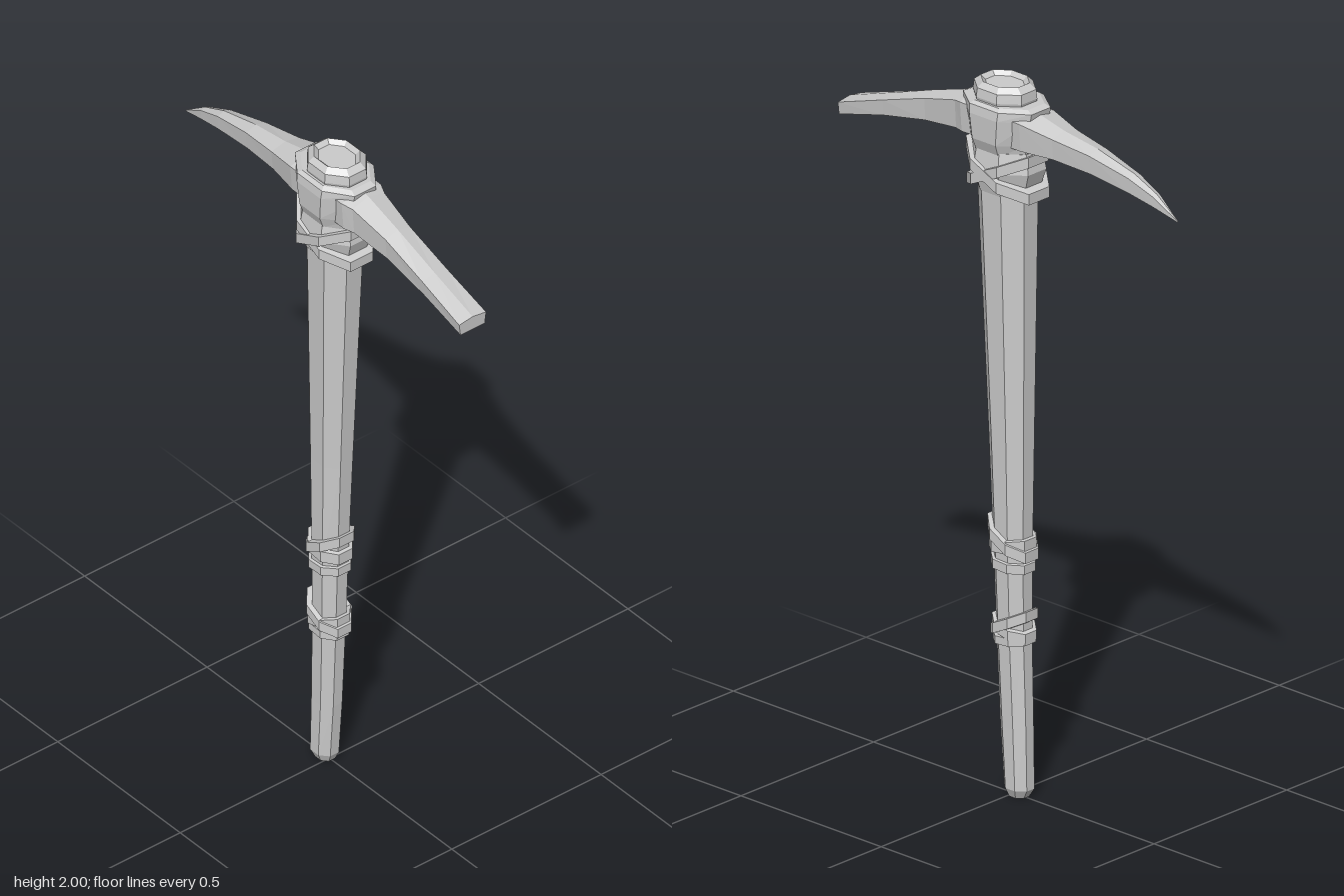
import * as THREE from 'three';

const material = new THREE.MeshStandardMaterial({ color: 0xcccccc, flatShading: true });

// Skin a list of cross-sections, each running counter-clockwise seen from the far end
function loft(name, sections, capped = true) {
  const pos = [];
  const tri = (...pts) => pts.forEach((p) => pos.push(p.x, p.y, p.z));
  const n = sections[0].length;
  for (let i = 0; i < sections.length - 1; i++) {
    for (let k = 0; k < n; k++) {
      const a = sections[i][k], b = sections[i][(k + 1) % n];
      const c = sections[i + 1][(k + 1) % n], d = sections[i + 1][k];
      tri(a, b, c);
      tri(a, c, d);
    }
  }
  if (capped) {
    const first = sections[0], last = sections[sections.length - 1];
    for (let k = 1; k < n - 1; k++) {
      tri(first[0], first[k + 1], first[k]);
      tri(last[0], last[k], last[k + 1]);
    }
  }
  const geometry = new THREE.BufferGeometry();
  geometry.setAttribute('position', new THREE.Float32BufferAttribute(pos, 3));
  geometry.computeVertexNormals();
  const mesh = new THREE.Mesh(geometry, material);
  mesh.name = name;
  return mesh;
}

// Eight-sided ring with flats on the axes; slope tilts it along x
function octagon(y, cx, rx, rz, slope = 0) {
  const grow = 1 / Math.cos(Math.PI / 8);
  return Array.from({ length: 8 }, (_, k) => {
    const t = ((k + 0.5) * Math.PI) / 4;
    const dx = Math.cos(t) * rx * grow;
    return new THREE.Vector3(cx + dx, y + slope * dx, -Math.sin(t) * rz * grow);
  });
}

// Handle outline: y, left x, right x, half depth
const HANDLE = [
  [0.005, -0.045, 0.01, 0.024],
  [0.03, -0.06, 0.021, 0.035],
  [0.2, -0.057, 0.034, 0.036],
  [0.45, -0.05, 0.046, 0.04],
  [0.7, -0.05, 0.056, 0.044],
  [1.0, -0.054, 0.07, 0.049],
  [1.7, -0.062, 0.104, 0.064],
  [1.94, -0.062, 0.115, 0.068],
];

// Handle centre and radii at any height
function handleAt(y) {
  let i = 0;
  while (i < HANDLE.length - 2 && HANDLE[i + 1][0] < y) i++;
  const t = (y - HANDLE[i][0]) / (HANDLE[i + 1][0] - HANDLE[i][0]);
  const [, l, r, rz] = HANDLE[i].map((v, j) => THREE.MathUtils.lerp(v, HANDLE[i + 1][j], t));
  return { cx: (l + r) / 2, rx: (r - l) / 2, rz };
}

// Band wrapped round the handle
function strap(name, y, slope, height, thick) {
  const { cx, rx, rz } = handleAt(y);
  const profile = [[-0.005, -0.5], [thick, -0.42], [thick, 0.42], [-0.005, 0.5]];
  return loft(name, profile.map(([out, h]) =>
    octagon(y + h * height, cx, rx + out, rz + out, slope)), false);
}

// Ridged five-sided section of the head blade
function bladeSection([x, top, bottom, w]) {
  const shoulder = top - (top - bottom) * 0.16;
  return [[top, 0], [shoulder, w], [bottom, w * 0.9], [bottom, -w * 0.9], [shoulder, -w]]
    .map(([y, z]) => new THREE.Vector3(x, y, z));
}

export function createModel() {
  const group = new THREE.Group();
  group.name = 'pickaxe';

  // Wooden handle
  group.add(loft('handle', HANDLE.map(([y, l, r, rz]) => octagon(y, (l + r) / 2, (r - l) / 2, rz))));

  // Handle end above the head, with a shallow dished top
  group.add(loft('handleTop', [
    [1.93, 0.08, 0.064], [1.96, 0.087, 0.071], [1.985, 0.084, 0.068],
    [2.0, 0.066, 0.054], [1.988, 0.054, 0.043],
  ].map(([y, rx, rz]) => octagon(y, 0.031, rx, rz))));

  // Iron collar round the handle
  group.add(loft('collar', [
    [1.815, 0.095, 0.074], [1.85, 0.1, 0.087], [1.92, 0.118, 0.09],
    [1.945, 0.122, 0.087], [1.953, 0.105, 0.076],
  ].map(([y, rx, rz]) => octagon(y, 0.025, rx, rz))));

  // Pointed arm on the right, chisel arm on the left: x, top, bottom, half width
  group.add(loft('headBlade', [
    [-0.585, 1.776, 1.772, 0.001],
    [-0.51, 1.83, 1.796, 0.013],
    [-0.43, 1.865, 1.815, 0.022],
    [-0.3, 1.897, 1.836, 0.034],
    [-0.18, 1.914, 1.845, 0.047],
    [-0.08, 1.938, 1.845, 0.066],
    [0.13, 1.942, 1.842, 0.066],
    [0.16, 1.935, 1.84, 0.054],
    [0.28, 1.898, 1.824, 0.042],
    [0.43, 1.847, 1.795, 0.042],
    [0.585, 1.796, 1.755, 0.045],
  ].map(bladeSection)));

  // Flared wrapping under the head
  group.add(loft('headWrap', [
    [1.7, 0.084, 0.066], [1.77, 0.106, 0.083], [1.825, 0.096, 0.075],
  ].map(([y, rx, rz]) => octagon(y, 0.022, rx, rz))));

  // Crossed straps under the head and grip bindings: y, slope, height, thickness
  [
    [1.757, -0.46, 0.036, 0.026], [1.757, 0.46, 0.036, 0.028],
    [0.725, 0.55, 0.036, 0.014], [0.71, -0.12, 0.04, 0.01], [0.655, 0.05, 0.03, 0.008],
    [0.49, -0.5, 0.034, 0.014], [0.475, 0.25, 0.03, 0.011], [0.446, -0.08, 0.026, 0.009],
  ].forEach(([y, slope, height, thick], i) =>
    group.add(strap(i < 2 ? 'headStrap' : 'gripBinding', y, slope, height, thick)));

  return group;
}
